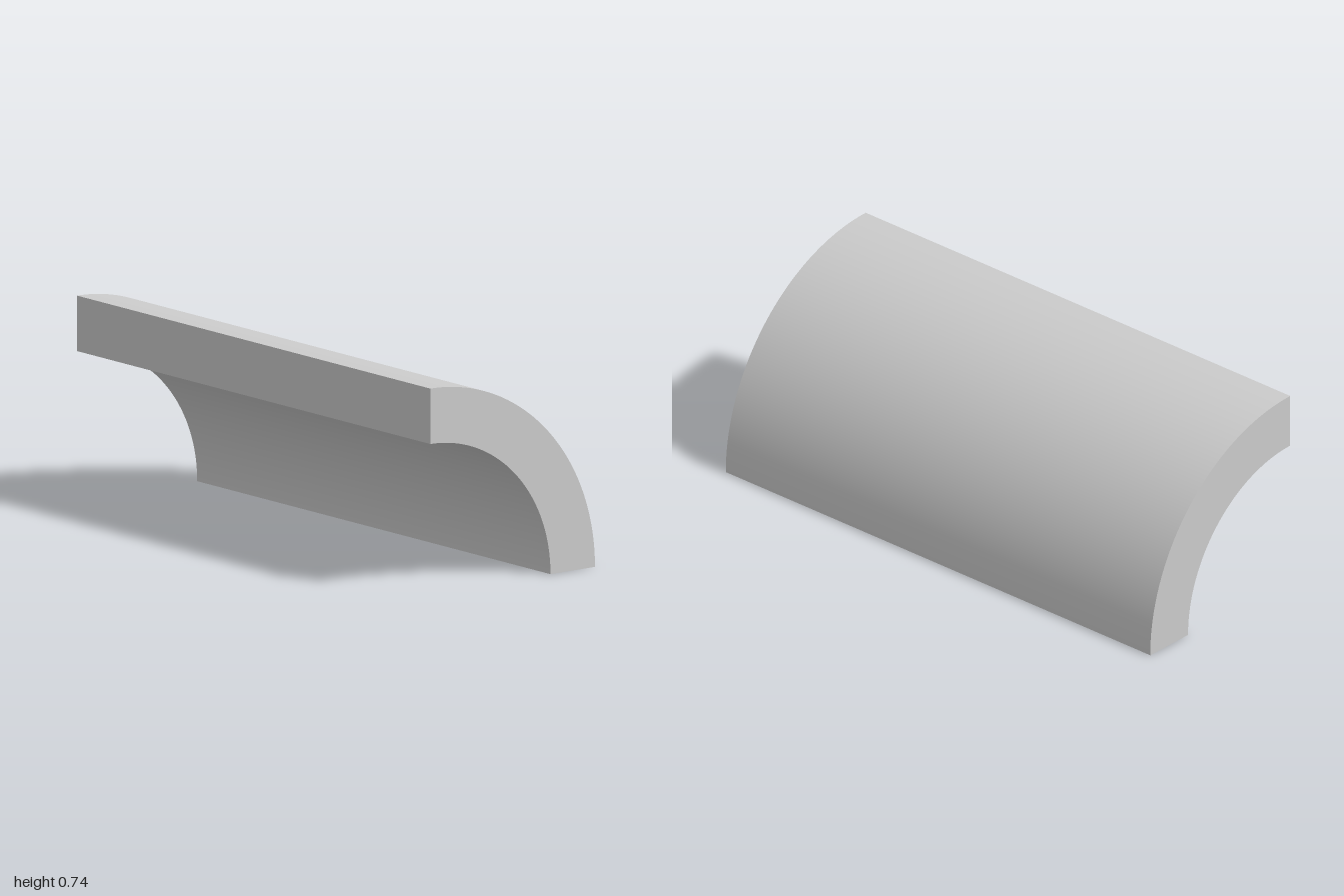
import * as THREE from 'three';
import { toCreasedNormals } from 'three/addons/utils/BufferGeometryUtils.js';

const OUTER = 0.737, INNER = 0.538, LENGTH = 2;

export function createModel() {
  const group = new THREE.Group();
  group.name = 'quarterPipe';

  // Quarter-ring cross-section, centred on its own depth
  const cx = -OUTER / 2;
  const profile = new THREE.Shape();
  profile.absarc(cx, 0, OUTER, 0, Math.PI / 2, false);
  profile.absarc(cx, 0, INNER, Math.PI / 2, 0, true);
  profile.closePath();

  // Extrude along the length, then turn it so the length runs along x
  const extruded = new THREE.ExtrudeGeometry(profile, {
    depth: LENGTH, bevelEnabled: false, curveSegments: 32,
  });
  extruded.translate(0, 0, -LENGTH / 2);
  extruded.rotateY(Math.PI / 2);

  // Smooth curved faces with sharp edges
  const shell = new THREE.Mesh(
    toCreasedNormals(extruded, Math.PI / 6),
    new THREE.MeshStandardMaterial({ color: 0xcccccc }),
  );
  shell.name = 'curvedShell';
  group.add(shell);
  return group;
}
